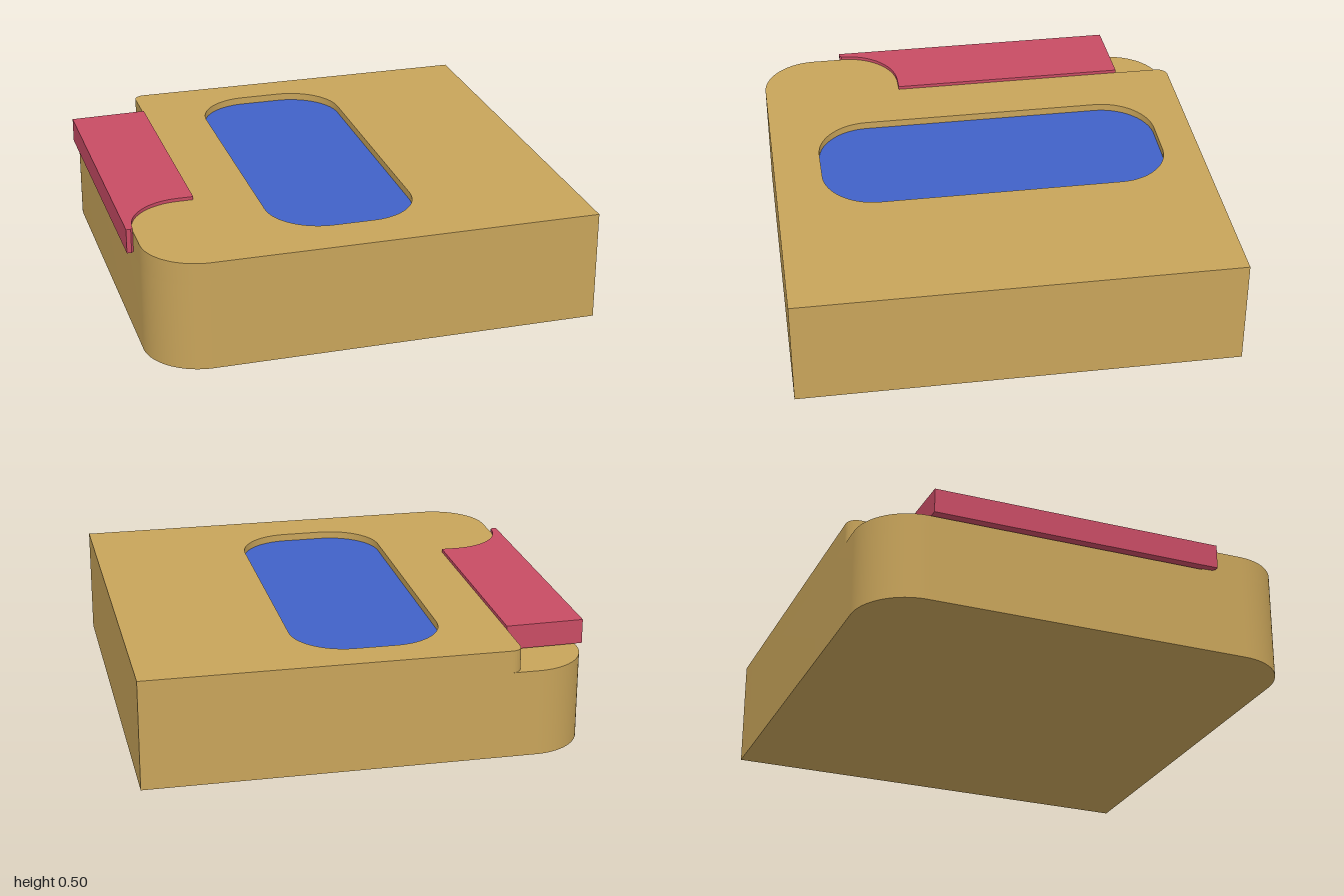
import * as THREE from 'three';
import { toCreasedNormals } from 'three/addons/utils/BufferGeometryUtils.js';

const TAN = 0xc8a45a, BLUE = 0x4062c8, RED = 0xc84c64;

// Extrudes a plan outline drawn in (x, z) between two heights.
function slab(name, shape, bottom, top, color) {
  const geo = new THREE.ExtrudeGeometry(shape, {
    depth: top - bottom, bevelEnabled: false, curveSegments: 16,
  });
  geo.rotateX(Math.PI / 2).translate(0, top, 0);
  const mesh = new THREE.Mesh(
    toCreasedNormals(geo, 0.6),
    new THREE.MeshStandardMaterial({ color }),
  );
  mesh.name = name;
  return mesh;
}

// Plan outline of a rectangle; r lists corner radii: back right, back left, front left, front right.
function roundedRect(Path, x0, x1, z0, z1, [a, b, c, d]) {
  const p = new Path();
  const arc = (x, z, r, start) => {
    if (r > 0) p.absarc(x, z, r, start, start + Math.PI / 2, false);
    else p.lineTo(x, z);
  };
  p.moveTo(x0, z0 + a);
  arc(x0 + a, z0 + a, a, Math.PI);
  arc(x1 - b, z0 + b, b, -Math.PI / 2);
  arc(x1 - c, z1 - c, c, 0);
  arc(x0 + d, z1 - d, d, Math.PI / 2);
  p.closePath();
  return p;
}

export function createModel() {
  const group = new THREE.Group();
  group.name = 'block';

  const left = -0.97, right = 0.995, back = -0.98, front = 0.98;
  const ledge = 0.39, top = 0.49, r = 0.25;
  const stepX = -0.65, stepZ = 0.34;

  // Lower body, full outline
  group.add(slab('lowerBody',
    roundedRect(THREE.Shape, left, right, back, front, [r, 0, 0, r]), 0, ledge, TAN));

  // Upper body, cut back along one side to leave a ledge
  const upper = new THREE.Shape();
  upper.moveTo(right, back);
  upper.lineTo(right, front);
  upper.lineTo(left + r, front);
  upper.absarc(left + r, front - r, r, Math.PI / 2, Math.PI, false);
  upper.lineTo(left, stepZ + r);
  upper.absarc(left + r, stepZ + r, r, Math.PI, Math.PI * 1.5, false);
  upper.lineTo(stepX, stepZ);
  upper.lineTo(stepX, back + 0.05);
  upper.absarc(stepX + 0.05, back + 0.05, 0.05, Math.PI, Math.PI * 1.5, false);
  upper.closePath();
  const well = [-0.375, 0.285, -0.81, 0.765, [0.24, 0.24, 0.24, 0.24]];
  upper.holes.push(roundedRect(THREE.Path, ...well));
  group.add(slab('upperBody', upper, ledge, top, TAN));

  // Sunken panel in the well
  group.add(slab('sunkenPanel', roundedRect(THREE.Shape, ...well), ledge, 0.457, BLUE));

  // Raised strip lying on the ledge, its front end following the curved step
  const strip = new THREE.Shape();
  strip.moveTo(-1, -0.72);
  strip.lineTo(stepX, -0.73);
  strip.lineTo(stepX, stepZ);
  strip.lineTo(left + r, stepZ);
  strip.absarc(left + r, stepZ + r, r, Math.PI * 1.5, Math.PI, true);
  strip.lineTo(-0.98, 0.6);
  strip.lineTo(-1, 0.6);
  strip.closePath();
  group.add(slab('sideStrip', strip, ledge + 0.005, 0.505, RED));

  return group;
}
